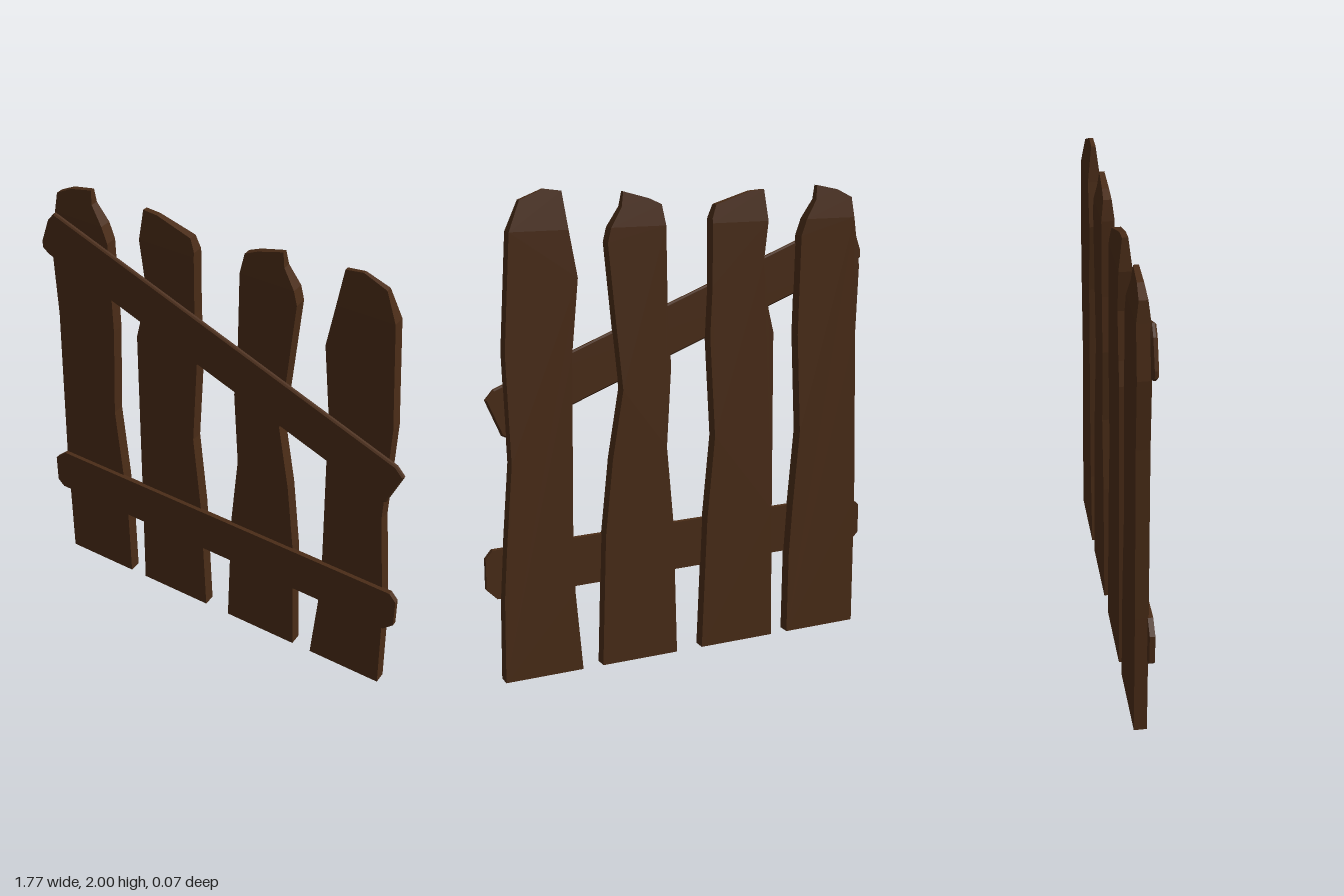
import * as THREE from 'three';

const SHOULDER = 1.84; // height where the plank tips start to thin out
const BACK = -0.036, PLANK_FRONT = 0.018, RAIL_BACK = 0.014, RAIL_FRONT = 0.036;

const wood = new THREE.MeshStandardMaterial({ color: 0x4a2c17, roughness: 0.9, flatShading: true });

// Warped plank outlines: up the left edge, over the tip, down the right edge
const planks = [
  [[-0.83, 0], [-0.83, 0.58], [-0.81, 1.34], [-0.82, 1.63], [-0.79, 1.84], [-0.78, 1.925], [-0.71, 1.96], [-0.61, 1.98],
    [-0.605, 1.92], [-0.555, 1.84], [-0.53, 1.77], [-0.52, 1.35], [-0.54, 0.92], [-0.51, 0.58], [-0.495, 0.36], [-0.49, 0]],
  [[-0.41, 0], [-0.405, 0.58], [-0.4, 1.37], [-0.375, 1.47], [-0.35, 1.67], [-0.37, 1.84], [-0.355, 1.97], [-0.29, 1.965],
    [-0.13, 1.915], [-0.11, 1.86], [-0.11, 1.84], [-0.11, 1.58], [-0.1, 1.37], [-0.125, 0.94], [-0.09, 0.58], [-0.065, 0]],
  [[0.055, 0], [0.07, 0.58], [0.1, 0.92], [0.08, 1.26], [0.095, 1.51], [0.1, 1.84], [0.115, 1.925], [0.17, 1.95], [0.28, 1.98],
    [0.29, 1.92], [0.34, 1.84], [0.355, 1.78], [0.32, 1.42], [0.295, 1.18], [0.345, 0.89], [0.38, 0.57], [0.4, 0]],
  [[0.49, 0], [0.52, 0.35], [0.525, 0.58], [0.515, 1.34], [0.485, 1.65], [0.52, 1.84], [0.54, 1.99], [0.615, 2],
    [0.715, 1.96], [0.765, 1.84], [0.795, 1.37], [0.78, 0.92], [0.81, 0.57], [0.825, 0.36], [0.83, 0]],
];

const lowerRail = [[-0.885, 0.4], [-0.885, 0.53], [-0.83, 0.58], [0.855, 0.56], [0.885, 0.525], [0.885, 0.395], [0.84, 0.35], [-0.855, 0.37]];
const upperRail = [[-0.86, 1.66], [-0.86, 1.69], [-0.82, 1.8], [-0.785, 1.84], [0.83, 1.22], [0.865, 1.18], [0.8, 1.03], [0.78, 1.02], [-0.83, 1.635]];

// Extrude an outline between two depths, with an optional small edge bevel
function slab(outline, back, front, bevel = 0) {
  const shape = new THREE.Shape(outline.map(([x, y]) => new THREE.Vector2(x, y)));
  const geometry = new THREE.ExtrudeGeometry(shape, {
    depth: front - back - 2 * bevel, bevelEnabled: bevel > 0, bevelSegments: 1,
    bevelSize: bevel, bevelThickness: bevel, bevelOffset: -bevel,
  });
  return geometry.translate(0, 0, back + bevel);
}

// Thin the tip linearly with height towards the middle of the plank
function taper(geometry) {
  const p = geometry.attributes.position;
  const mid = (BACK + PLANK_FRONT) / 2;
  for (let i = 0; i < p.count; i++) {
    const t = Math.max(0, (p.getY(i) - SHOULDER) / (2 - SHOULDER));
    p.setZ(i, mid + (p.getZ(i) - mid) * (1 - 0.7 * t));
  }
  geometry.computeVertexNormals();
  return geometry;
}

function addMesh(parent, name, geometry) {
  const mesh = new THREE.Mesh(geometry, wood);
  mesh.name = name;
  parent.add(mesh);
}

export function createModel() {
  const fence = new THREE.Group();
  fence.name = 'fence';

  // Upright planks: straight-faced body and tapered tip
  planks.forEach((outline, i) => {
    const plank = new THREE.Group();
    plank.name = `plank${i + 1}`;
    addMesh(plank, 'plankBody', slab(outline.filter(p => p[1] <= SHOULDER), BACK, PLANK_FRONT));
    addMesh(plank, 'plankTip', taper(slab(outline.filter(p => p[1] >= SHOULDER), BACK, PLANK_FRONT)));
    fence.add(plank);
  });

  // Cross rails nailed on the front
  addMesh(fence, 'lowerRail', slab(lowerRail, RAIL_BACK, RAIL_FRONT));
  addMesh(fence, 'upperRail', slab(upperRail, RAIL_BACK, RAIL_FRONT, 0.006));
  return fence;
}
